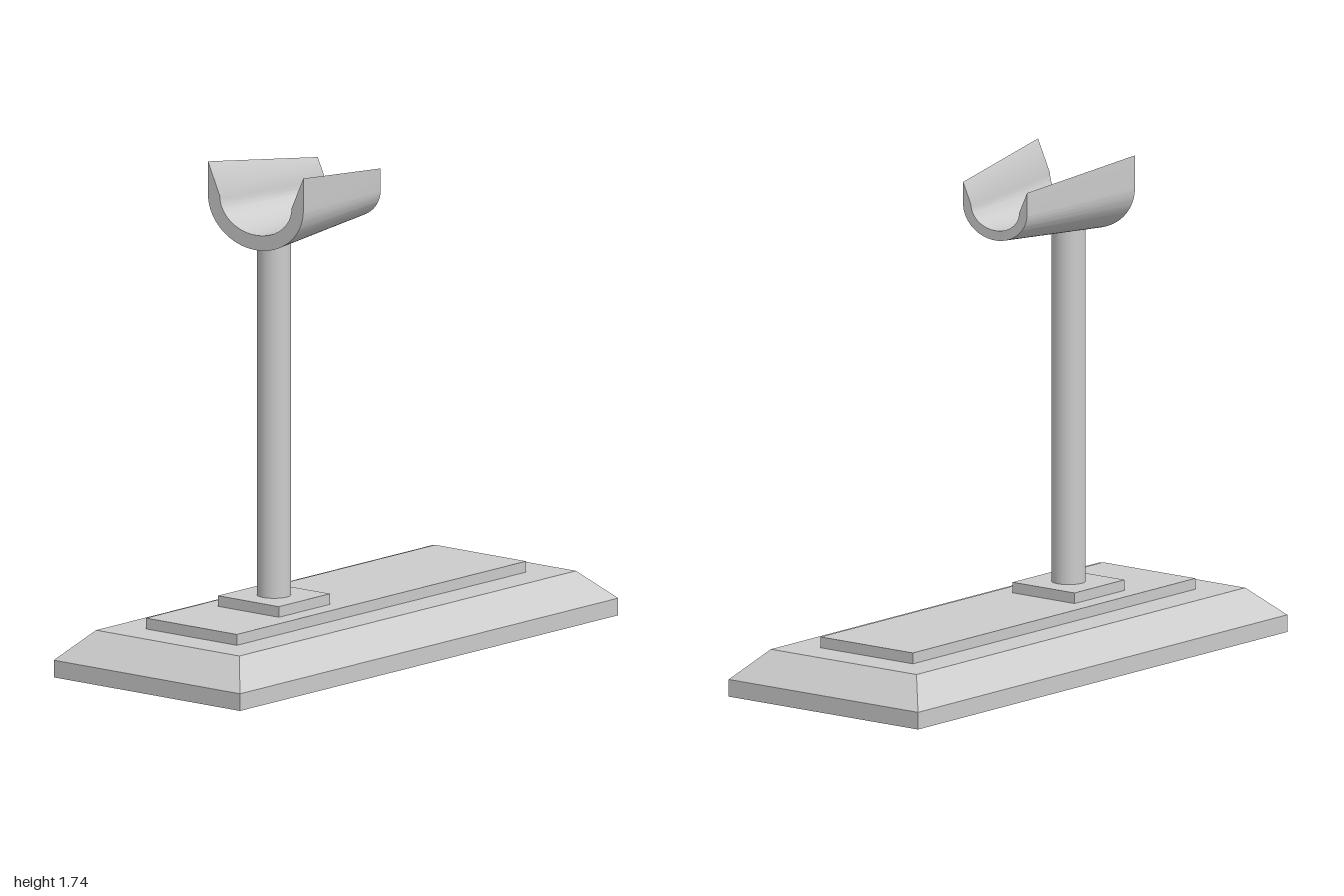
import * as THREE from 'three';
import { toCreasedNormals } from 'three/addons/utils/BufferGeometryUtils.js';

const material = new THREE.MeshStandardMaterial({ color: 0xcccccc });

function addMesh(group, name, geometry, x = 0, y = 0, z = 0) {
  const mesh = new THREE.Mesh(geometry, material);
  mesh.name = name;
  mesh.position.set(x, y, z);
  group.add(mesh);
  return mesh;
}

// Block standing on y0, optionally with a smaller top face
function block(w, d, y0, y1, topW = w, topD = d) {
  const geo = new THREE.BoxGeometry(w, y1 - y0, d);
  const p = geo.attributes.position;
  for (let i = 0; i < p.count; i++) {
    if (p.getY(i) > 0) {
      p.setX(i, Math.sign(p.getX(i)) * topW / 2);
      p.setZ(i, Math.sign(p.getZ(i)) * topD / 2);
    }
  }
  geo.translate(0, (y0 + y1) / 2, 0);
  geo.computeVertexNormals();
  return geo;
}

// Crescent trough with pointed rims, shrinking evenly towards the back
function cradleGeometry(length, backScale) {
  const shape = new THREE.Shape();
  shape.moveTo(-0.213, 0.169);
  shape.lineTo(-0.213, 0.056);
  shape.absellipse(0, 0.056, 0.213, 0.167, Math.PI, Math.PI * 2, false);
  shape.lineTo(0.213, 0.169);
  shape.lineTo(0.16, 0.056);
  shape.absellipse(0, 0.056, 0.16, 0.115, 0, Math.PI, true);
  shape.closePath();
  const geo = new THREE.ExtrudeGeometry(shape, { depth: length, bevelEnabled: false, curveSegments: 32 });
  const p = geo.attributes.position;
  for (let i = 0; i < p.count; i++) {
    const s = THREE.MathUtils.lerp(backScale, 1, p.getZ(i) / length);
    p.setXY(i, p.getX(i) * s, p.getY(i) * s);
  }
  return toCreasedNormals(geo, 0.6);
}

export function createModel() {
  const group = new THREE.Group();
  group.name = 'cradleStand';
  const postZ = 0.328;

  // Stepped base
  addMesh(group, 'baseSlab', block(0.832, 2, 0, 0.06));
  addMesh(group, 'baseBevel', block(0.832, 2, 0.06, 0.16, 0.64, 1.78));
  addMesh(group, 'raisedPanel', block(0.406, 1.53, 0.16, 0.198));
  addMesh(group, 'postPlate', block(0.272, 0.27, 0.198, 0.235), 0, 0, postZ);

  // Post, ending inside the thickness of the cradle
  const bottom = 0.235, top = 1.485;
  addMesh(group, 'post', new THREE.CylinderGeometry(0.058, 0.058, top - bottom, 32), 0, (bottom + top) / 2, postZ);

  // Tapered cradle
  addMesh(group, 'cradle', cradleGeometry(0.495, 0.66), 0, 1.566, -0.07);
  return group;
}
